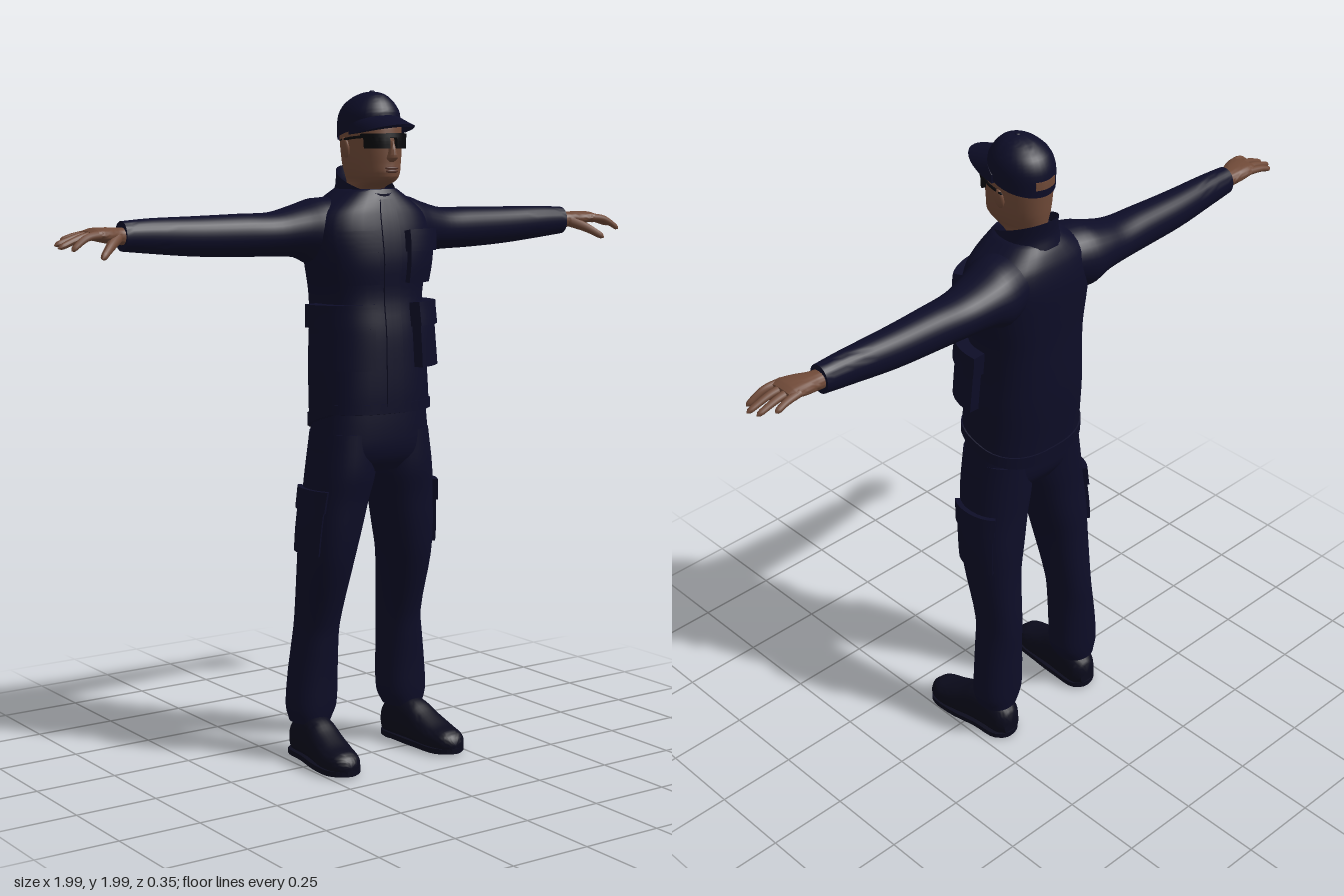
import * as THREE from 'three';
import { toCreasedNormals } from 'three/addons/utils/BufferGeometryUtils.js';

const mat = (name, color, side = THREE.FrontSide) => {
  const m = new THREE.MeshStandardMaterial({ color, side });
  m.name = name;
  return m;
};
const clamp = (v) => Math.min(1, Math.max(0, v));
const F = Math.PI / 2; // angle of the front on every cross-section

// Smoothly interpolate the rows [t, cx, cz, rx, rz] at t
function rowAt(rows, t) {
  let i = 0;
  while (i < rows.length - 2 && t > rows[i + 1][0]) i++;
  const a = rows[i], b = rows[i + 1], p = rows[Math.max(0, i - 1)], q = rows[Math.min(rows.length - 1, i + 2)];
  const h = b[0] - a[0], s = clamp((t - a[0]) / h), s2 = s * s, s3 = s2 * s;
  return a.map((v, k) => {
    const m0 = (b[k] - p[k]) / (b[0] - p[0]) * h, m1 = (q[k] - v) / (q[0] - a[0]) * h;
    return (2 * s3 - 3 * s2 + 1) * v + (s3 - 2 * s2 + s) * m0 + (3 * s2 - 2 * s3) * b[k] + (s3 - s2) * m1;
  });
}

// Surface through superelliptic cross-sections stacked along y
function surface(rows, power = 2, warp = (p) => p) {
  const f = (v) => Math.sign(v) * Math.abs(v) ** (2 / power);
  const at = (angle, y) => {
    const [, cx, cz, rx, rz] = rowAt(rows, y);
    return warp(new THREE.Vector3(cx + rx * f(Math.cos(angle)), y, cz + rz * f(Math.sin(angle))));
  };
  at.rows = rows;
  return at;
}

function build(points, index, crease = 0.9) {
  const g = new THREE.BufferGeometry();
  g.setAttribute('position', new THREE.Float32BufferAttribute(points.flatMap((p) => [p.x, p.y, p.z]), 3));
  g.setIndex(index);
  return toCreasedNormals(g, crease);
}

// Closed skin over a surface, with optional end caps
function loft(at, capped = true, sides = 32, steps = 4) {
  const ys = [], pts = [], idx = [], rows = at.rows;
  for (let i = 0; i < rows.length - 1; i++)
    for (let k = 0; k < steps; k++) ys.push(rows[i][0] + (rows[i + 1][0] - rows[i][0]) * k / steps);
  ys.push(rows[rows.length - 1][0]);
  ys.forEach((y) => { for (let j = 0; j < sides; j++) pts.push(at(j / sides * 2 * Math.PI, y)); });
  for (let i = 0; i < ys.length - 1; i++) for (let j = 0; j < sides; j++) {
    const a = i * sides + j, b = i * sides + (j + 1) % sides;
    idx.push(a, a + sides, b, b, a + sides, b + sides);
  }
  if (capped) [0, ys.length - 1].forEach((r) => {
    const c = pts.length, mid = new THREE.Vector3();
    for (let j = 0; j < sides; j++) mid.addScaledVector(pts[r * sides + j], 1 / sides);
    pts.push(mid);
    for (let j = 0; j < sides; j++) {
      const a = r * sides + j, b = r * sides + (j + 1) % sides;
      idx.push(...(r ? [c, b, a] : [c, a, b]));
    }
  });
  return build(pts, idx);
}

// Raised patch on a surface: pockets, flaps, belts, lenses
function panel(at, u0, u1, v0, v1, thick, n = 10) {
  const pts = [], idx = [], w = n + 3, e = 1e-3;
  for (let i = -1; i <= n + 1; i++) for (let j = -1; j <= n + 1; j++) {
    const u = u0 + (u1 - u0) * clamp(j / n), v = v0 + (v1 - v0) * clamp(i / n), p = at(u, v);
    const normal = at(u, v + e).sub(at(u, v - e)).cross(at(u + e, v).sub(at(u - e, v))).normalize();
    const edge = i < 0 || j < 0 || i > n || j > n;
    pts.push(p.addScaledVector(normal, edge ? -0.004 : thick));
  }
  for (let i = 0; i < w - 1; i++) for (let j = 0; j < w - 1; j++) {
    const a = i * w + j;
    idx.push(a, a + w, a + 1, a + 1, a + w, a + w + 1);
  }
  return build(pts, idx, 0.6);
}

// Tapered rounded tube through points
function finger(list, r0, r1) {
  const curve = new THREE.CatmullRomCurve3(list.map((p) => new THREE.Vector3(...p)));
  const n = 14, g = new THREE.TubeGeometry(curve, n, 1, 10), p = g.attributes.position, v = new THREE.Vector3();
  for (let i = 0; i < p.count; i++) {
    const t = Math.floor(i / 11) / n, c = curve.getPointAt(t);
    const r = (r0 + (r1 - r0) * t) * Math.sqrt(Math.max(0.0005, 1 - Math.max(0, (t - 0.85) / 0.15) ** 2));
    v.fromBufferAttribute(p, i).sub(c).multiplyScalar(r).add(c);
    p.setXYZ(i, v.x, v.y, v.z);
  }
  g.computeVertexNormals();
  return g;
}

function mirrored(geo) {
  const g = geo.clone().scale(-1, 1, 1);
  const idx = g.index ? [...g.index.array] : Array.from({ length: g.attributes.position.count }, (_, i) => i);
  for (let i = 0; i < idx.length; i += 3) [idx[i], idx[i + 1]] = [idx[i + 1], idx[i]];
  g.setIndex(idx);
  return g;
}

export function createModel() {
  const model = new THREE.Group();
  const cloth = mat('navy cloth', 0x0d0d27, THREE.DoubleSide), boot = mat('dark boot', 0x0b0b1c);
  const skin = mat('brown skin', 0x704a38), lip = mat('lip', 0x5a382e), black = mat('black glasses', 0x07070b);
  const add = (name, geo, m) => {
    const mesh = new THREE.Mesh(geo, m);
    mesh.name = name;
    model.add(mesh);
  };
  const pair = (name, geo, m) => { add(name + 'Left', geo, m); add(name + 'Right', mirrored(geo), m); };

  // Jacket body, with the hem dropping toward the back
  const jacket = surface([
    [1.06, 0, -0.015, 0.185, 0.133], [1.12, 0, -0.018, 0.182, 0.137], [1.2, 0, -0.024, 0.178, 0.141],
    [1.3, 0, -0.028, 0.171, 0.14], [1.4, 0, -0.034, 0.17, 0.134], [1.5, 0, -0.032, 0.188, 0.138],
    [1.58, 0, -0.036, 0.198, 0.134], [1.64, 0, -0.038, 0.18, 0.122], [1.68, 0, -0.037, 0.13, 0.107],
    [1.71, 0, -0.035, 0.085, 0.09]], 2.5, (p) => {
    p.y -= 0.07 * clamp((1.2 - p.y) / 0.14) * clamp((0.05 - p.z) / 0.2);
    return p;
  });
  add('jacketBody', loft(jacket), cloth);
  add('zipPlacket', panel(jacket, F - 0.1, F + 0.1, 1.07, 1.68, 0.005, 20), cloth);
  add('hemBand', panel(jacket, F - Math.PI, F + Math.PI, 1.062, 1.09, 0.004, 48), cloth);
  pair('chestPocket', panel(jacket, 0.72, 1.36, 1.44, 1.57, 0.018), cloth);
  pair('chestPocketFlap', panel(jacket, 0.69, 1.39, 1.53, 1.59, 0.026), cloth);
  pair('waistPocket', panel(jacket, 0.0, 1.22, 1.19, 1.35, 0.032, 16), cloth);
  pair('waistPocketFlap', panel(jacket, -0.03, 1.25, 1.31, 1.38, 0.04, 16), cloth);

  // Collar, tilted down toward the front
  const collar = surface([[1.65, 0, -0.034, 0.105, 0.105], [1.69, 0, -0.033, 0.086, 0.098],
    [1.735, 0, -0.034, 0.08, 0.1]], 2, (p) => { p.y -= (p.z + 0.03) * 0.4; return p; });
  add('collar', loft(collar, false), cloth);

  // Sleeves, built along the arm
  const sleeve = surface([
    [0.08, -1.6, -0.05, 0.085, 0.1], [0.16, -1.587, -0.067, 0.098, 0.101], [0.22, -1.59, -0.077, 0.077, 0.088],
    [0.3, -1.583, -0.081, 0.064, 0.072], [0.4, -1.583, -0.083, 0.062, 0.062], [0.55, -1.585, -0.085, 0.057, 0.053],
    [0.7, -1.591, -0.082, 0.049, 0.042], [0.785, -1.593, -0.08, 0.042, 0.036]], 2.1);
  pair('sleeve', loft(sleeve).rotateZ(-F), cloth);

  // Hands
  const palm = surface([[0.76, -1.592, -0.08, 0.025, 0.028], [0.8, -1.594, -0.078, 0.024, 0.03],
    [0.84, -1.598, -0.072, 0.022, 0.042], [0.88, -1.602, -0.068, 0.017, 0.048], [0.9, -1.6, -0.068, 0.011, 0.045]], 2.3);
  pair('palm', loft(palm).rotateZ(-F), skin);
  const tips = [[0.972, 1.562, -0.012, -0.034], [0.996, 1.568, -0.045, -0.057], [0.99, 1.574, -0.08, -0.081],
    [0.956, 1.584, -0.115, -0.104]];
  tips.forEach(([x, y, z, z0], i) =>
    pair('finger' + (i + 1), finger([[0.87, 1.602, z0], [0.92, 1.595, (z + z0) / 2], [x, y, z]], 0.0125, 0.008), skin));
  pair('thumb', finger([[0.81, 1.59, -0.06], [0.85, 1.568, -0.022], [0.892, 1.538, 0.012]], 0.018, 0.009), skin);

  // Trousers
  const hips = surface([[0.885, 0, -0.013, 0.16, 0.085], [0.93, 0, -0.013, 0.193, 0.111],
    [1.0, 0, -0.013, 0.187, 0.118], [1.12, 0, -0.018, 0.175, 0.12]], 2.4);
  add('hips', loft(hips), cloth);
  const leg = surface([
    [0.115, 0.172, -0.083, 0.06, 0.062], [0.16, 0.167, -0.083, 0.078, 0.066], [0.25, 0.162, -0.082, 0.076, 0.069],
    [0.33, 0.157, -0.079, 0.069, 0.072], [0.42, 0.15, -0.074, 0.063, 0.077], [0.6, 0.143, -0.04, 0.076, 0.094],
    [0.7, 0.132, -0.03, 0.087, 0.1], [0.8, 0.117, -0.022, 0.095, 0.102], [0.88, 0.104, -0.016, 0.1, 0.108],
    [1.0, 0.095, -0.015, 0.09, 0.108]], 2.2);
  pair('trouserLeg', loft(leg), cloth);
  pair('cargoPocket', panel(leg, -0.75, 0.65, 0.64, 0.8, 0.01), cloth);
  pair('cargoFlap', panel(leg, -0.8, 0.7, 0.77, 0.835, 0.016), cloth);

  // Boots, built heel to toe with a flat underside
  const shoe = surface([
    [-0.15, 0.17, -0.05, 0.03, 0.04], [-0.125, 0.17, -0.058, 0.048, 0.06], [-0.06, 0.173, -0.068, 0.053, 0.072],
    [-0.01, 0.178, -0.066, 0.055, 0.068], [0.04, 0.184, -0.052, 0.058, 0.054], [0.1, 0.19, -0.038, 0.058, 0.042],
    [0.15, 0.192, -0.034, 0.045, 0.033], [0.172, 0.192, -0.03, 0.02, 0.018]], 2.3, (p) => {
    p.z = Math.min(p.z, -0.008);
    return p;
  });
  pair('boot', loft(shoe).rotateX(F), boot);
  const outline = [[0.17, 0.155], [0.125, 0.13], [0.12, 0.05], [0.125, -0.05], [0.138, -0.14], [0.192, -0.176],
    [0.244, -0.14], [0.25, -0.06], [0.232, 0.04], [0.22, 0.13]];
  const soleCurve = new THREE.CatmullRomCurve3(outline.map(([x, y]) => new THREE.Vector3(x, y, 0)), true);
  const soleShape = new THREE.Shape(soleCurve.getPoints(40).map((p) => new THREE.Vector2(p.x, p.y)));
  const sole = new THREE.ExtrudeGeometry(soleShape, { depth: 0.016, bevelEnabled: false }).rotateX(-F);
  pair('sole', sole.translate(0, 0.006, 0), boot);
  pair('heel', new THREE.CylinderGeometry(0.046, 0.046, 0.02, 20).translate(0.172, 0.01, -0.105), boot);

  // Head and neck
  const head = surface([
    [1.62, 0, -0.05, 0.062, 0.062], [1.7, 0, -0.045, 0.06, 0.06], [1.715, 0, -0.035, 0.054, 0.067],
    [1.732, 0, -0.008, 0.054, 0.094], [1.75, 0, 0, 0.063, 0.103], [1.78, 0, -0.003, 0.072, 0.104],
    [1.82, 0, -0.005, 0.078, 0.105], [1.86, 0, -0.007, 0.081, 0.105], [1.9, 0, -0.01, 0.081, 0.1],
    [1.94, 0, -0.015, 0.065, 0.08]], 2.1);
  add('head', loft(head), skin);
  const nose = surface([[1.79, 0, 0.098, 0.008, 0.008], [1.8, 0, 0.1, 0.017, 0.019], [1.815, 0, 0.1, 0.012, 0.02],
    [1.85, 0, 0.095, 0.007, 0.012]]);
  add('nose', loft(nose, true, 16), skin);
  add('upperLip', new THREE.SphereGeometry(1, 20, 10).scale(0.024, 0.005, 0.008).translate(0, 1.772, 0.101), lip);
  add('lowerLip', new THREE.SphereGeometry(1, 20, 10).scale(0.021, 0.006, 0.009).translate(0, 1.763, 0.101), lip);
  pair('ear', new THREE.SphereGeometry(1, 16, 12).scale(0.009, 0.03, 0.018).rotateZ(-0.15).translate(0.084, 1.83, -0.015), skin);

  // Sunglasses
  pair('lens', panel(head, F - 0.92, F - 0.12, 1.828, 1.866, 0.012), black);
  add('glassesBar', panel(head, F - 1.0, F + 1.0, 1.858, 1.87, 0.014, 16), black);
  pair('glassesTemple', finger([[0.072, 1.862, 0.062], [0.086, 1.858, 0.02], [0.089, 1.85, -0.035]], 0.004, 0.004), black);

  // Cap, lower at the back
  const cap = surface([
    [1.872, 0, -0.016, 0.089, 0.099], [1.92, 0, -0.016, 0.088, 0.098], [1.95, 0, -0.012, 0.075, 0.084],
    [1.975, 0, -0.005, 0.05, 0.056], [1.987, 0, 0, 0.025, 0.028], [1.991, 0, 0, 0.003, 0.003]], 2, (p) => {
    p.y += (p.z + 0.01) * 0.25 * clamp((1.95 - p.y) / 0.075);
    return p;
  });
  add('cap', loft(cap, false), cloth);
  add('capBackOpening', panel(cap, -F - 0.4, -F + 0.4, 1.89, 1.908, 0.002), skin);
  add('capButton', new THREE.SphereGeometry(0.008, 12, 8).scale(1, 0.5, 1).translate(0, 1.99, 0), cloth);
  const brim = (u, v) => new THREE.Vector3(
    0.088 * Math.sin(u * 1.3), 1.92 - 0.026 * v - 0.026 * u * u,
    -0.016 + 0.094 * Math.cos(u * 1.3) + 0.094 * v * Math.max(0, Math.cos(u * F)) ** 0.6);
  add('capBrim', panel(brim, -1, 1, 0, 1, 0.004, 20), cloth);

  return model;
}
